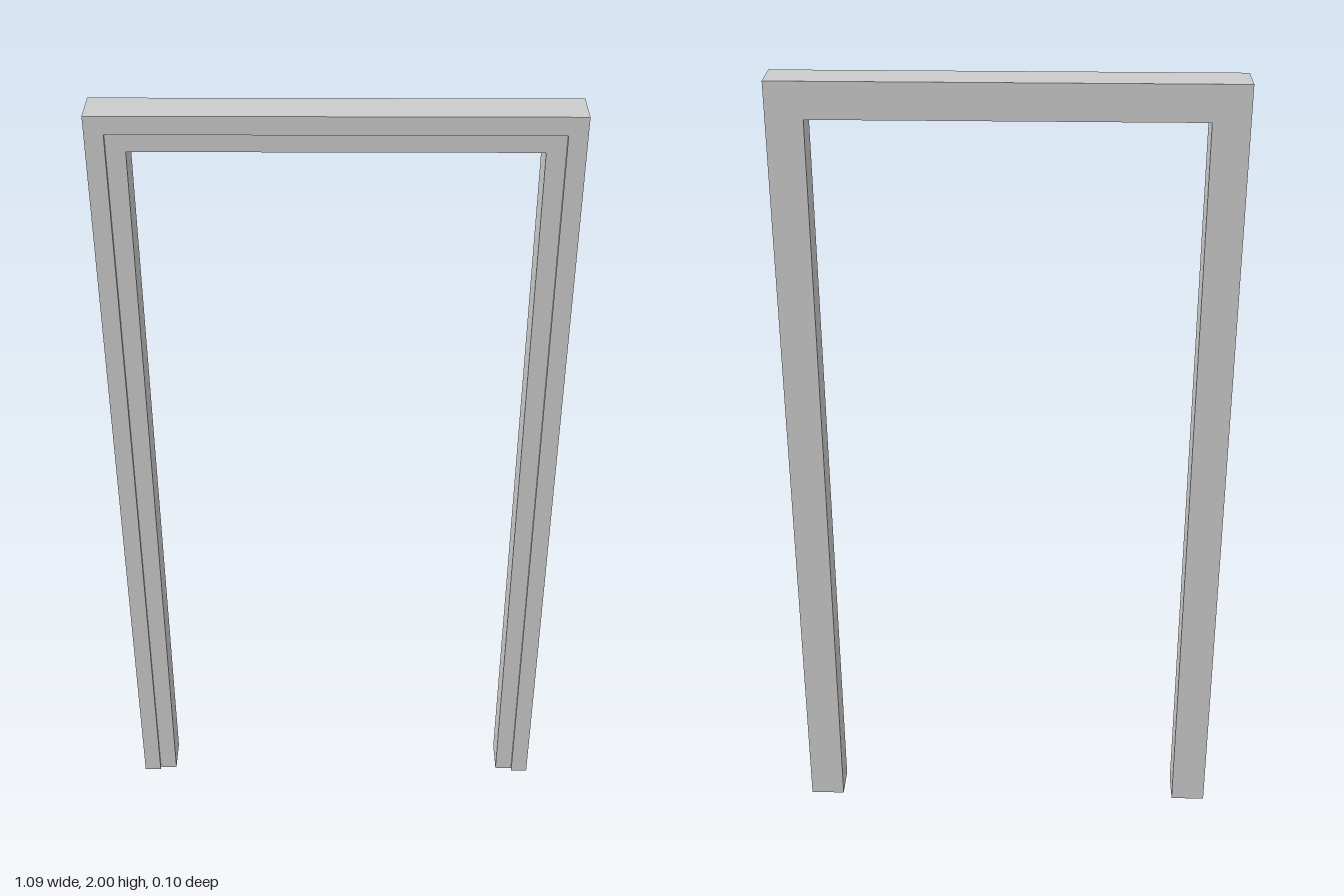
import * as THREE from 'three';

const material = new THREE.MeshStandardMaterial({ color: 0xcccccc, flatShading: true });

// Box given by its minimum and maximum corners
function box(name, [x0, y0, z0], [x1, y1, z1]) {
  const mesh = new THREE.Mesh(new THREE.BoxGeometry(x1 - x0, y1 - y0, z1 - z0), material);
  mesh.name = name;
  mesh.position.set((x0 + x1) / 2, (y0 + y1) / 2, (z0 + z1) / 2);
  return mesh;
}

export function createModel() {
  const group = new THREE.Group();
  group.name = 'doorFrame';

  const outer = 0.543, inner = 0.456, trimInner = 0.5; // half widths
  const top = 2, beamBottom = 1.913, trimBottom = 1.957;
  const back = -0.048, face = 0.039, front = 0.048; // depths

  // Square posts with a thin stop strip along the outer half of the front
  for (const [side, s] of [['left', 1], ['right', -1]]) {
    const span = (a, b) => (s > 0 ? [a, b] : [-b, -a]);
    const [p0, p1] = span(inner, outer);
    group.add(box(side + 'Post', [p0, 0, back], [p1, beamBottom, face]));
    const [t0, t1] = span(trimInner, outer);
    group.add(box(side + 'Strip', [t0, 0, face], [t1, top, front]));
  }

  // Header beam resting on the posts, with its own strip
  group.add(box('headerBeam', [-outer, beamBottom, back], [outer, top, face]));
  group.add(box('headerStrip', [-trimInner, trimBottom, face], [trimInner, top, front]));

  return group;
}
